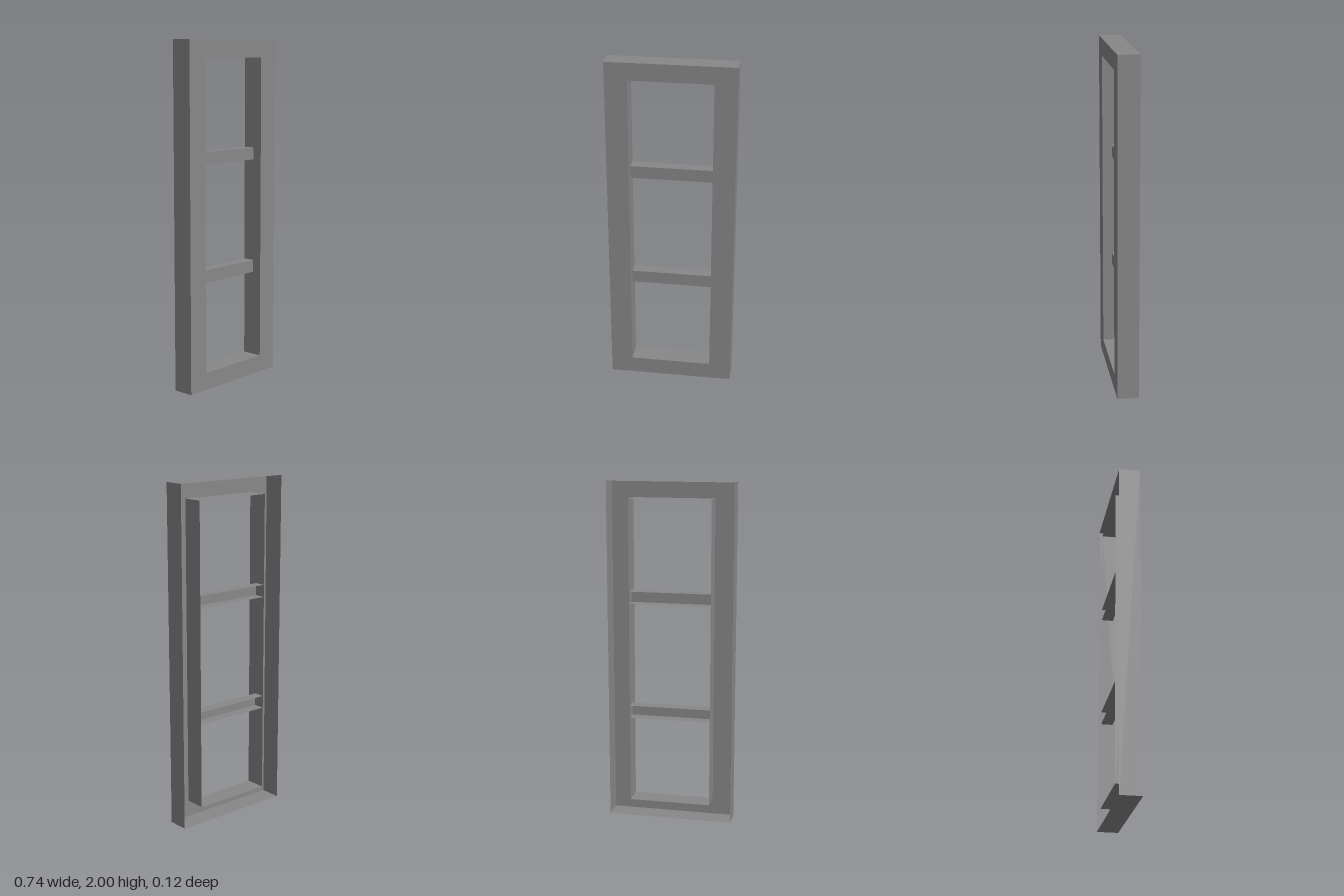
import * as THREE from 'three';

const W = 0.368, H = 2, D = 0.0625;            // outer half width, height, half depth
const IW = 0.24, IB = 0.1, IT = 1.9;           // opening half width, bottom, top
const BAR_Z = 0.006;                           // front of the cross bars
const material = new THREE.MeshStandardMaterial({ color: 0x888888, side: THREE.DoubleSide });

// Thin sheet centred at (x, y, z)
function sheet(name, w, h, x, y, z, rx = 0, ry = 0) {
  const mesh = new THREE.Mesh(new THREE.PlaneGeometry(w, h), material);
  mesh.name = name;
  mesh.position.set(x, y, z);
  mesh.rotation.set(rx, ry, 0);
  return mesh;
}

// Four thin walls around a rectangle, running the full depth
function walls(name, halfW, y0, y1) {
  const group = new THREE.Group();
  group.name = name;
  const midY = (y0 + y1) / 2;
  for (const s of [-1, 1]) {
    const side = s > 0 ? 'Left' : 'Right';
    group.add(sheet(name + side, 2 * D, y1 - y0, s * halfW, midY, 0, 0, s * Math.PI / 2));
  }
  group.add(sheet(name + 'Top', 2 * halfW, 2 * D, 0, y1, 0, -Math.PI / 2));
  group.add(sheet(name + 'Bottom', 2 * halfW, 2 * D, 0, y0, 0, Math.PI / 2));
  return group;
}

function rectangle(PathType, halfW, y0, y1) {
  return new PathType([[-halfW, y0], [halfW, y0], [halfW, y1], [-halfW, y1]]
    .map(([x, y]) => new THREE.Vector2(x, y)));
}

// Cross bar: channel set back to mid depth, open at the back
function crossBar(name, y0, y1) {
  const group = new THREE.Group();
  group.name = name;
  const depth = BAR_Z + D, midZ = (BAR_Z - D) / 2;
  group.add(sheet(name + 'Face', 2 * IW, y1 - y0, 0, (y0 + y1) / 2, BAR_Z));
  group.add(sheet(name + 'TopFlange', 2 * IW, depth, 0, y1, midZ, -Math.PI / 2));
  group.add(sheet(name + 'BottomFlange', 2 * IW, depth, 0, y0, midZ, Math.PI / 2));
  return group;
}

export function createModel() {
  const model = new THREE.Group();
  model.name = 'windowFrame';

  // Front face with the opening cut out
  const shape = rectangle(THREE.Shape, W, 0, H);
  shape.holes.push(rectangle(THREE.Path, IW, IB, IT));
  const face = new THREE.Mesh(new THREE.ShapeGeometry(shape), material);
  face.name = 'frontFace';
  face.position.z = D;
  model.add(face);

  // Outer and inner walls, leaving the frame hollow at the back
  model.add(walls('outerWall', W, 0, H), walls('innerWall', IW, IB, IT));

  model.add(crossBar('upperBar', 1.298, 1.37), crossBar('lowerBar', 0.613, 0.687));
  return model;
}
